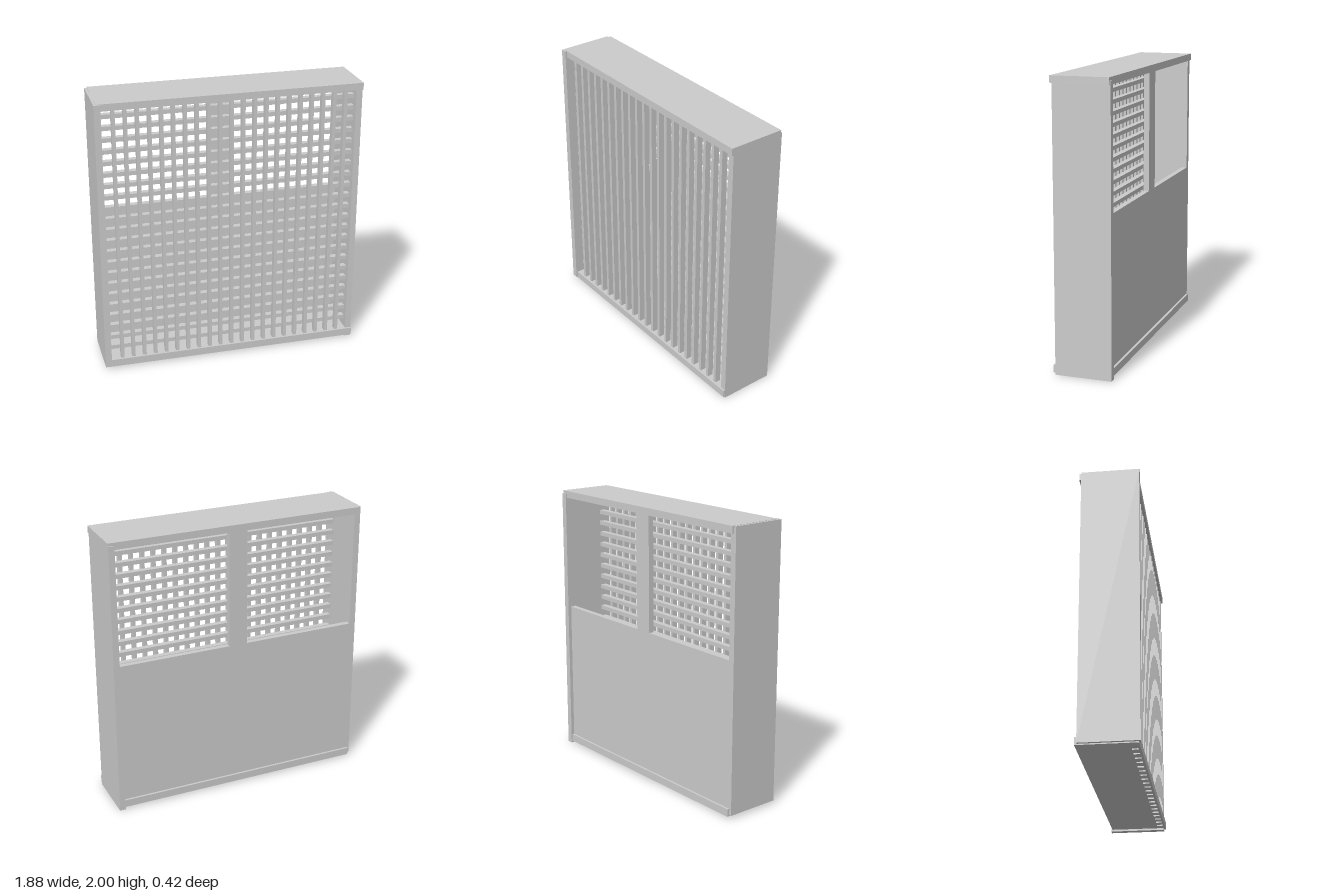
import * as THREE from 'three';

export function createModel() {
  const group = new THREE.Group();
  const material = new THREE.MeshStandardMaterial({ color: 0xcccccc, flatShading: true });

  // Box given by its min and max on each axis
  function board(name, [x0, x1], [y0, y1], [z0, z1], parent = group) {
    const mesh = new THREE.Mesh(new THREE.BoxGeometry(x1 - x0, y1 - y0, z1 - z0), material);
    mesh.position.set((x0 + x1) / 2, (y0 + y1) / 2, (z0 + z1) / 2);
    mesh.name = name;
    parent.add(mesh);
  }

  // Outer frame, its boards slightly staggered
  board('rightSide', [-0.94, -0.895], [0.022, 1.998], [-0.187, 0.212]);
  board('leftSide', [0.895, 0.939], [0, 1.98], [-0.212, 0.186]);
  board('topBoard', [-0.922, 0.94], [1.95, 2], [-0.203, 0.2]);
  board('bottomBoard', [-0.922, 0.938], [0.014, 0.068], [-0.203, 0.2]);

  // Lower back panel and the upright post above it
  board('backPanel', [-0.9, 0.9], [0.06, 1.11], [-0.187, -0.147]);
  board('backPost', [-0.062, 0.072], [1.11, 1.955], [-0.187, -0.147]);

  // Lattice: upright bars in front, cross bars behind
  const lattice = new THREE.Group();
  lattice.name = 'lattice';
  group.add(lattice);
  for (let i = 0; i < 21; i++) {
    const x = -0.81 + i * 0.0815;
    board('uprightBar', [x - 0.012, x + 0.012], [0.005, 1.96], [0.143, 0.185], lattice);
  }
  for (let i = 0; i < 22; i++) {
    const y = 1.893 - i * 0.0834;
    board('crossBar', [-0.897, 0.897], [y - 0.015, y + 0.015], [0.1, 0.143], lattice);
  }
  return group;
}
